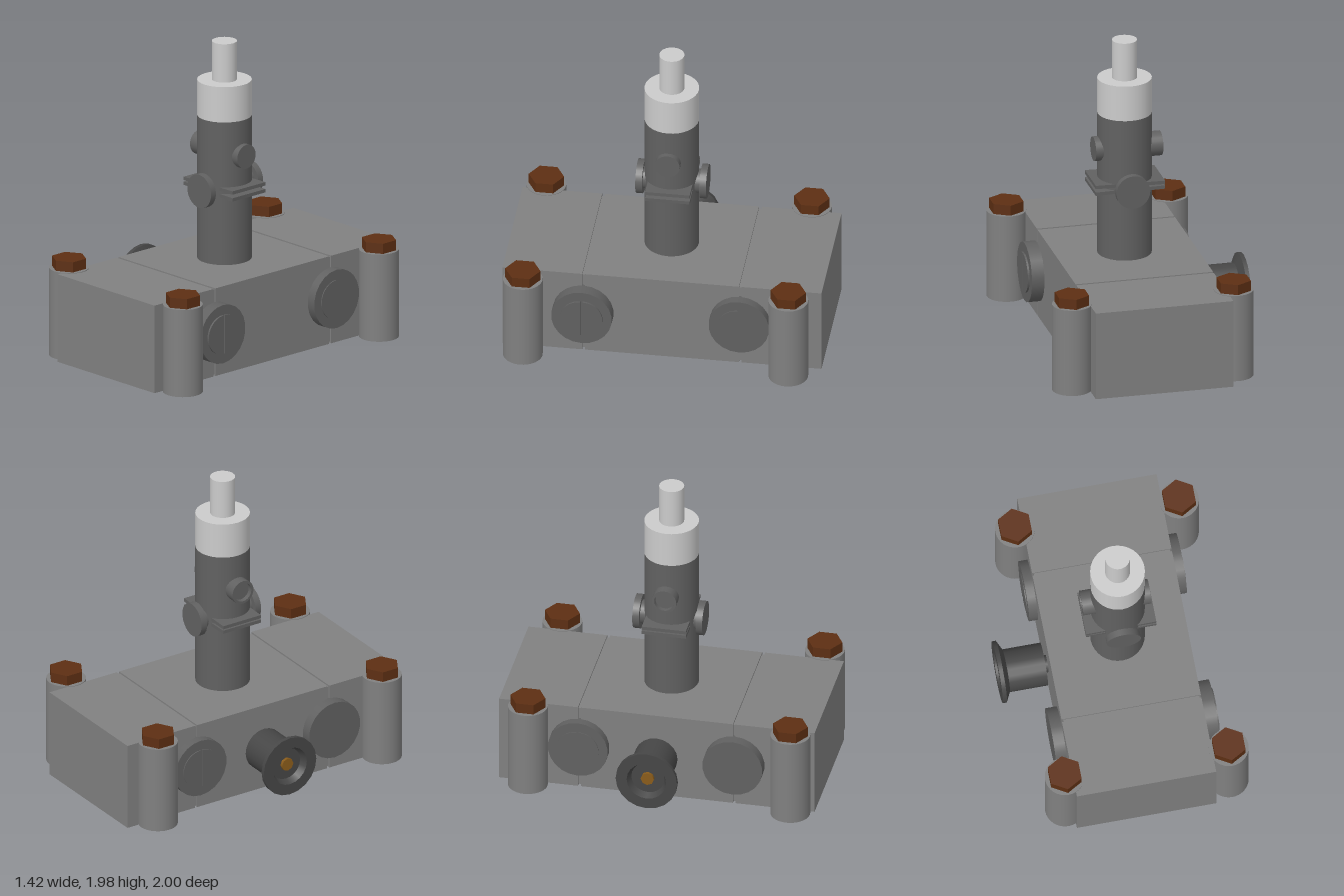
import * as THREE from 'three';

const mat = (color) => new THREE.MeshStandardMaterial({ color });

export function createModel() {
  const model = new THREE.Group();
  const light = mat(0xcccccc), grey = mat(0x808080), dark = mat(0x616161);
  const black = mat(0x464646), rust = mat(0x5d2f13), brass = mat(0x8a5c1a);

  const add = (name, geometry, material, x, y, z, parent = model) => {
    const mesh = new THREE.Mesh(geometry, material);
    mesh.name = name;
    mesh.position.set(x, y, z);
    parent.add(mesh);
    return mesh;
  };
  const box = (w, h, d) => new THREE.BoxGeometry(w, h, d);
  const cyl = (r, h, n = 32) => new THREE.CylinderGeometry(r, r, h, n);
  // Sharp-edged solid of revolution about y: each profile segment gets its own normals
  const turned = (name, points, material, segments = 24) => {
    const group = new THREE.Group();
    group.name = name;
    for (let i = 1; i < points.length; i++) {
      const pair = [points[i - 1], points[i]].map(([r, y]) => new THREE.Vector2(r, y));
      add(name + 'Surface', new THREE.LatheGeometry(pair, segments), material, 0, 0, 0, group);
    }
    model.add(group);
    return group;
  };

  // Base: three blocks parted by narrow grooves around a slightly smaller core
  const bx = 0.04;
  add('baseCore', box(0.86, 0.55, 1.9), grey, bx, 0.287, 0);
  add('baseMiddle', box(0.88, 0.57, 0.965), grey, bx, 0.287, 0);
  for (const s of [-1, 1]) add('baseEnd', box(0.88, 0.57, 0.5), grey, bx, 0.287, s * 0.75);

  // Corner posts with hexagonal bolt heads
  for (const x of [-0.45, 0.585]) {
    for (const z of [-0.807, 0.857]) {
      add('cornerPost', cyl(0.124, 0.567), grey, x, 0.292, z);
      const head = new THREE.CylinderGeometry(0.111, 0.111, 0.067, 6).toNonIndexed();
      head.computeVertexNormals();
      add('boltHead', head, rust, x, 0.608, z);
    }
  }

  // Side discs; slotted ones carry raised half discs either side of a gap
  const half = new THREE.Shape();
  half.absarc(0.007, 0, 0.125, -Math.PI / 2, Math.PI / 2, false);
  half.closePath();
  const halfGeo = new THREE.ExtrudeGeometry(half, { depth: 0.02, bevelEnabled: false, curveSegments: 14 });
  const sideDisc = (side, outerX, y, z, turns, raise) => {
    const disc = new THREE.Group();
    disc.name = 'sideDisc';
    disc.position.set(side * outerX, y, z);
    disc.rotation.y = side * Math.PI / 2;
    model.add(disc);
    add('discRim', cyl(0.19, 0.1, 22), dark, 0, 0, -0.05, disc).rotation.x = Math.PI / 2;
    for (const a of turns) add('slotHalf', halfGeo, dark, 0, 0, raise - 0.02, disc).rotation.z = a;
  };
  sideDisc(1, 0.56, 0.295, 0.493, [0, Math.PI], 0.012);
  sideDisc(1, 0.54, 0.307, -0.49, [Math.PI], 0.006);
  sideDisc(-1, 0.47, 0.295, 0.493, [], 0);
  sideDisc(-1, 0.455, 0.3, -0.49, [0, Math.PI], 0.006);

  // Flared knob with a recessed face, on the right side
  const knob = turned('flaredKnob', [
    [0, 0], [0.135, 0], [0.135, 0.24], [0.195, 0.27], [0.195, 0.296],
    [0.125, 0.296], [0.105, 0.25], [0, 0.25],
  ], black, 20);
  knob.position.set(-0.419, 0.285, 0);
  knob.rotation.z = Math.PI / 2;
  add('knobScrew', cyl(0.042, 0.02, 8), brass, 0, 0.26, 0, knob);
  add('knobNeck', cyl(0.055, 0.06, 16), black, 0, -0.01, 0, knob);

  // Tower
  const tx = 0.045;
  add('towerTube', cyl(0.17, 0.94), dark, tx, 1.03, 0);
  add('towerCap', cyl(0.17, 0.23), light, tx, 1.615, 0);
  add('towerPin', cyl(0.078, 0.25), light, tx, 1.855, 0);

  // Upper cross studs: solid on the left, cupped on the right
  add('leftStud', cyl(0.078, 0.12, 24), dark, 0.185, 1.27, 0).rotation.z = Math.PI / 2;
  const cup = turned('rightStud', [
    [0.078, 0], [0.078, 0.115], [0.062, 0.115], [0.062, 0.085], [0, 0.085],
  ], dark);
  cup.position.set(-0.07, 1.27, 0);
  cup.rotation.z = Math.PI / 2;

  // Front and back buttons on necks
  for (const [s, z] of [[1, 0.194], [-1, -0.207]]) {
    add('button', cyl(0.108, 0.042, 28), dark, tx, 1.045, z).rotation.x = Math.PI / 2;
    add('buttonNeck', cyl(0.075, 0.1, 24), dark, tx, 1.045, z - s * 0.05).rotation.x = Math.PI / 2;
  }

  // Pair of thin collar plates closing together toward the right
  for (const s of [-1, 1]) {
    const plate = add('collarPlate', box(0.444, 0.022, 0.28), dark, 0.0425, 1.045 + s * 0.019, -0.003);
    plate.rotation.z = s * 0.016;
  }

  return model;
}
